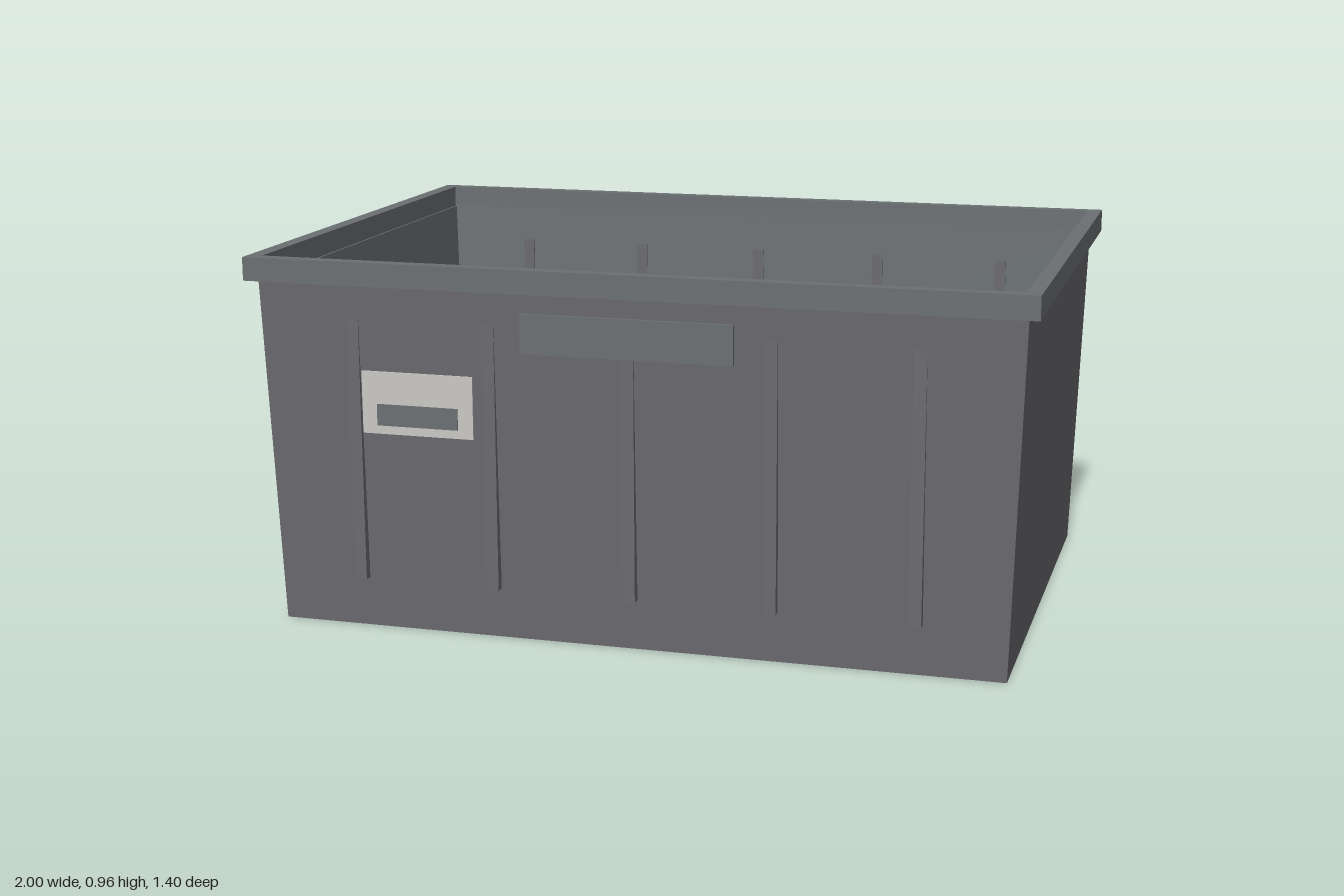
import * as THREE from 'three';

// Square "lathe": joins rectangular rings [halfX, halfZ, y], listed bottom-outside-top-inside.
function rectLoft(rings) {
  const signs = [[1, 1], [1, -1], [-1, -1], [-1, 1]];
  const pos = [];
  const corner = (r, i) => [signs[i % 4][0] * r[0], r[2], signs[i % 4][1] * r[1]];
  for (let k = 0; k < rings.length - 1; k++) {
    const lo = rings[k], up = rings[k + 1];
    for (let i = 0; i < 4; i++) {
      const a = corner(lo, i), b = corner(lo, i + 1), c = corner(up, i + 1), d = corner(up, i);
      if (lo[0] > 0) pos.push(...a, ...b, ...c);
      if (up[0] > 0) pos.push(...a, ...c, ...d);
    }
  }
  const g = new THREE.BufferGeometry();
  g.setAttribute('position', new THREE.Float32BufferAttribute(pos, 3));
  g.computeVertexNormals();
  return g;
}

function material(name, color) {
  const m = new THREE.MeshStandardMaterial({ color });
  m.name = name;
  return m;
}

export function createModel() {
  const group = new THREE.Group();
  group.name = 'storageCrate';
  const body = material('body grey', 0x6b6b70);
  const trim = material('trim grey', 0x6b7073);
  const pale = material('label pale grey', 0xcccac5);

  const add = (name, geometry, mat, parent = group) => {
    const mesh = new THREE.Mesh(geometry, mat);
    mesh.name = name;
    parent.add(mesh);
    return mesh;
  };
  // Box given by its minimum and maximum on each axis
  const addBox = (name, mat, parent, x0, x1, y0, y1, z0, z1) => {
    const mesh = add(name, new THREE.BoxGeometry(x1 - x0, y1 - y0, z1 - z0), mat, parent);
    mesh.position.set((x0 + x1) / 2, (y0 + y1) / 2, (z0 + z1) / 2);
  };

  // Tapered tub: outside with base, then inside with floor
  add('outerShell', rectLoft([[0, 0, 0], [0.943, 0.643, 0], [0.971, 0.671, 0.9]]), body);
  add('innerShell', rectLoft([[0.971, 0.671, 0.902], [0.957, 0.657, 0.902],
    [0.928, 0.628, 0.02], [0, 0, 0.02]]), trim);

  // Rim around the top
  add('rim', rectLoft([[0.962, 0.662, 0.9], [1, 0.698, 0.9], [1, 0.698, 0.96],
    [0.962, 0.662, 0.96], [0.962, 0.662, 0.9]]), trim);

  // Ribs, grip plate and label holder, the same on front and back
  for (const side of [1, -1]) {
    const face = new THREE.Group();
    face.name = side > 0 ? 'frontDetails' : 'backDetails';
    group.add(face);
    const box = (name, mat, x0, x1, y0, y1, z0, z1) => addBox(name, mat, face, x0, x1, y0, y1,
      Math.min(side * z0, side * z1), Math.max(side * z0, side * z1));
    for (let i = -2; i <= 2; i++) {
      box('rib', body, i * 0.36 - 0.016, i * 0.36 + 0.016, 0.13, 0.81, 0.648, 0.67);
    }
    box('gripPlate', trim, -0.27, 0.27, 0.75, 0.85, 0.677, 0.686);
    box('label', pale, -0.69, -0.395, 0.525, 0.685, 0.686, 0.69);
    box('labelWindow', trim, -0.65, -0.435, 0.547, 0.602, 0.69, 0.693);
  }
  return group;
}
